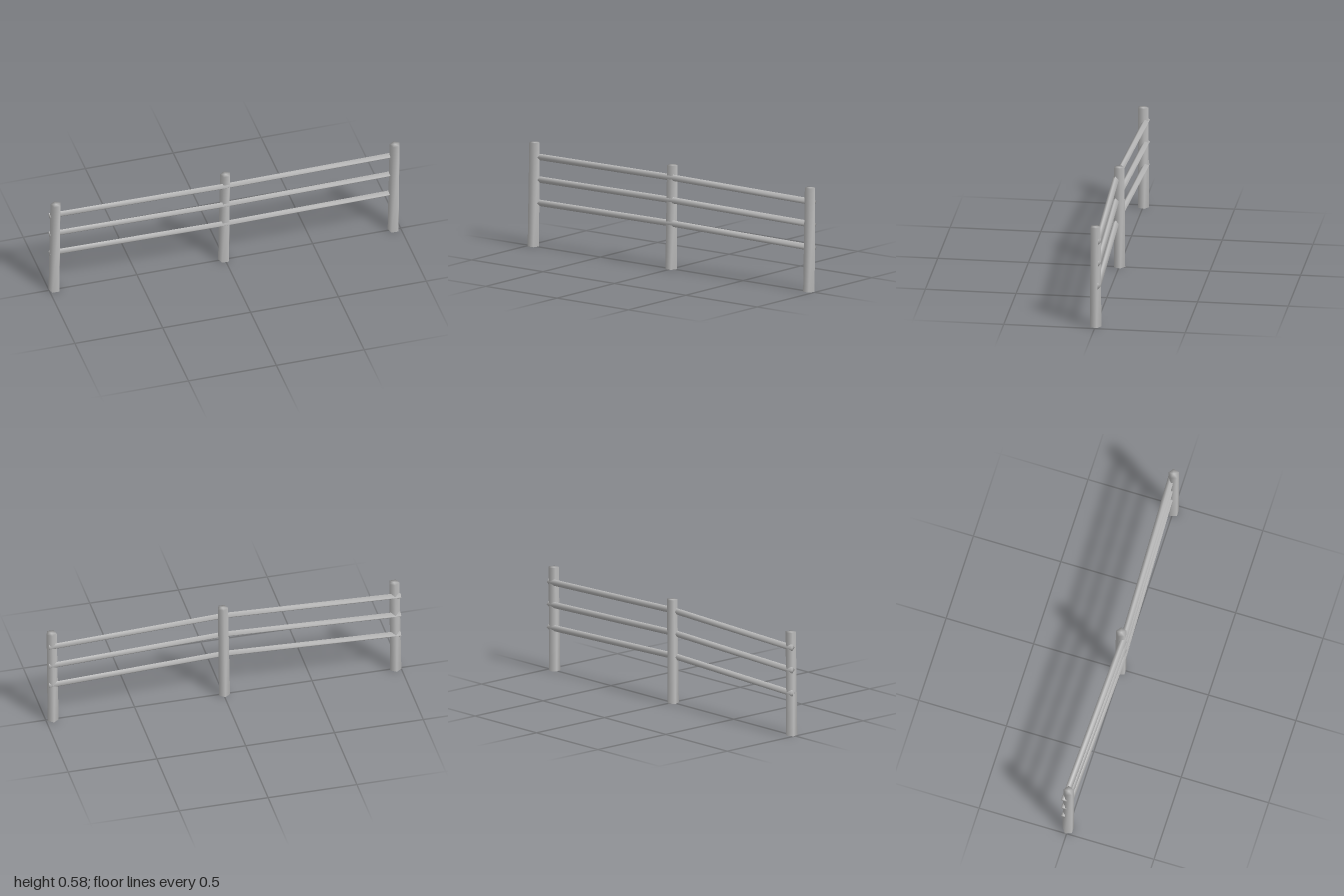
import * as THREE from 'three';
import { mergeVertices } from 'three/addons/utils/BufferGeometryUtils.js';

// Weld all corners so the normals run smoothly over sides and caps
function smooth(geometry) {
  geometry.deleteAttribute('uv');
  geometry.deleteAttribute('normal');
  const welded = mergeVertices(geometry, 1e-5);
  welded.computeVertexNormals();
  return welded;
}

// Five-sided tapered post with a slight sideways lean
function postGeometry() {
  const height = 0.58, lean = 0.008;
  const g = new THREE.CylinderGeometry(0.03, 0.033, height, 5, 1, false, Math.PI);
  g.translate(0, height / 2, 0);
  const p = g.attributes.position;
  for (let i = 0; i < p.count; i++) {
    p.setX(i, p.getX(i) + lean * (p.getY(i) / height - 0.5));
  }
  return smooth(g);
}

// Four-sided rail, bent at the middle: forward and up there, back and down at the ends
function railGeometry() {
  const g = new THREE.CylinderGeometry(0.018, 0.018, 1.98, 4, 2);
  g.rotateZ(-Math.PI / 2);
  const p = g.attributes.position;
  for (let i = 0; i < p.count; i++) {
    const t = Math.abs(p.getX(i)) / 0.99;
    p.setY(i, p.getY(i) - 0.016 * t);
    p.setZ(i, p.getZ(i) + 0.017 - 0.033 * t);
  }
  g.translate(-0.004, 0, 0);
  return smooth(g);
}

export function createModel() {
  const fence = new THREE.Group();
  fence.name = 'fence';
  const wood = new THREE.MeshStandardMaterial({ color: 0xbfbfbf });
  wood.name = 'plain grey';

  // Posts
  const post = postGeometry();
  [['rightPost', -0.965], ['middlePost', 0], ['leftPost', 0.965]].forEach(([name, x]) => {
    const mesh = new THREE.Mesh(post, wood);
    mesh.name = name;
    mesh.position.x = x;
    fence.add(mesh);
  });

  // Rails
  const rail = railGeometry();
  [['lowerRail', 0.258], ['middleRail', 0.388], ['upperRail', 0.514]].forEach(([name, y]) => {
    const mesh = new THREE.Mesh(rail, wood);
    mesh.name = name;
    mesh.position.y = y;
    fence.add(mesh);
  });

  return fence;
}
